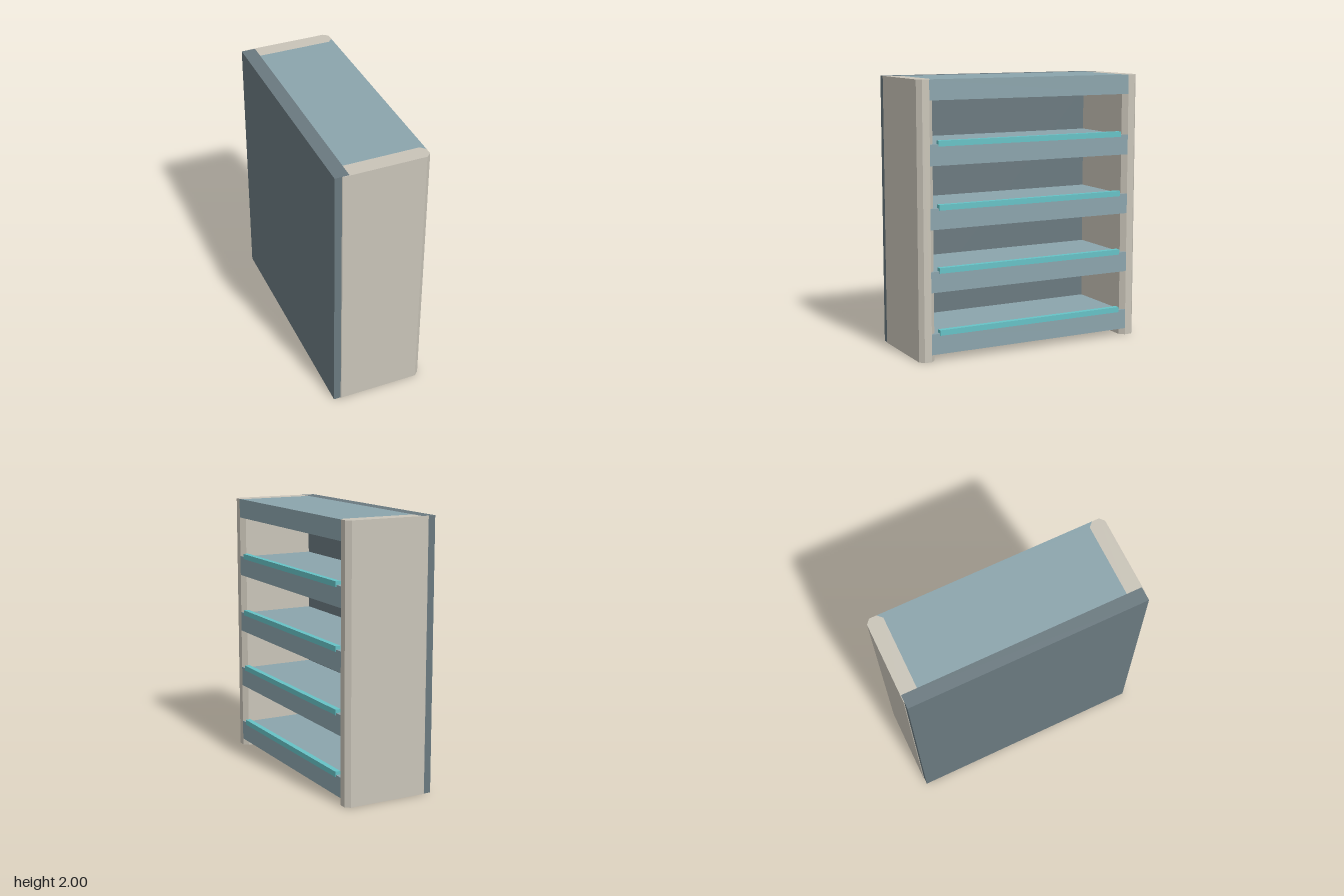
import * as THREE from 'three';

const mat = (name, color) => Object.assign(new THREE.MeshStandardMaterial({ color }), { name });

// Extrudes a plan outline of [x, z] points upwards from y0 to y1.
function prism(points, y0, y1) {
  const shape = new THREE.Shape(points.map(([x, z]) => new THREE.Vector2(x, -z)));
  const geo = new THREE.ExtrudeGeometry(shape, { depth: y1 - y0, bevelEnabled: false });
  return geo.rotateX(-Math.PI / 2).translate(0, y0, 0);
}

export function createModel() {
  const group = new THREE.Group();
  const beige = mat('beige side', 0xc9c4b8);
  const blue = mat('blue grey shelf', 0x8ba4ac);
  const slate = mat('dark slate back', 0x6a797f);
  const teal = mat('teal trim', 0x66c2c6);

  const add = (name, geo, material, x = 0, y = 0, z = 0) => {
    const mesh = new THREE.Mesh(geo, material);
    mesh.name = name;
    mesh.position.set(x, y, z);
    group.add(mesh);
  };

  // Back panel
  add('backPanel', new THREE.BoxGeometry(0.105, 2, 1.79), slate, -0.2975, 1, 0);

  // Side panels with chamfered front edges, fitted round the back panel
  const side = [
    [-0.245, 0.78], [-0.245, 0.895], [-0.297, 0.895], [-0.292, 0.9],
    [0.31, 0.9], [0.345, 0.87], [0.345, 0.815], [0.31, 0.78],
  ];
  for (const s of [1, -1]) {
    add(s > 0 ? 'frontSidePanel' : 'rearSidePanel', prism(side.map(([x, z]) => [x, z * s]), 0, 2), beige);
  }

  // Shelves, widened at the front to meet the chamfers
  const shelf = [
    [-0.245, 0.78], [0.31, 0.78], [0.345, 0.815],
    [0.345, -0.815], [0.31, -0.78], [-0.245, -0.78],
  ];
  for (let i = 0; i < 4; i++) {
    const y = 0.05 + i * 0.45;
    add('shelf', prism(shelf, y, y + 0.15), blue);
    // Raised strip along the shelf's front edge
    add('shelfTrim', new THREE.BoxGeometry(0.04, 0.04, 1.5), teal, 0.33, y + 0.155, 0);
  }
  add('topShelf', prism(shelf, 1.855, 2), blue);

  return group;
}
